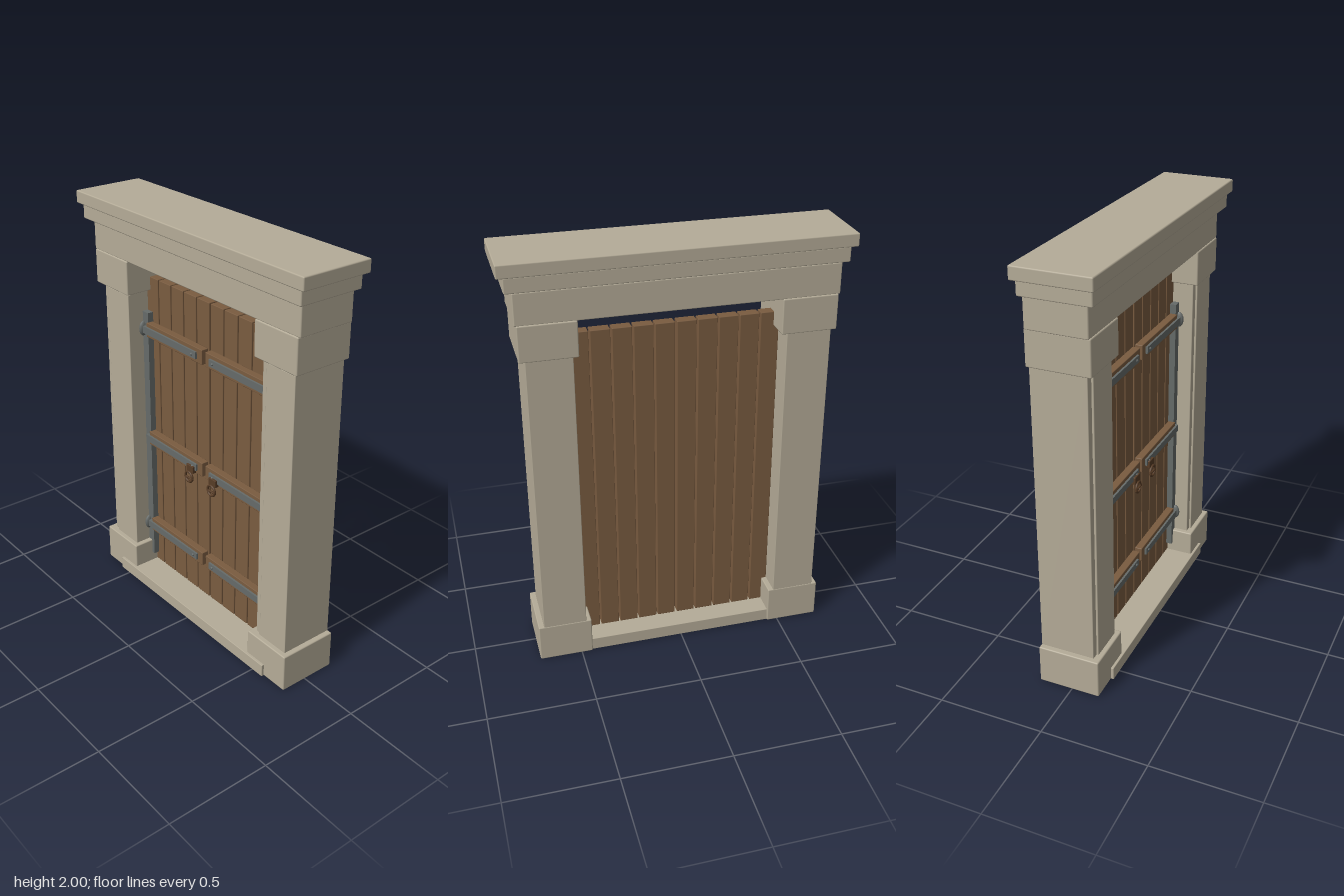
import * as THREE from 'three';
import { RoundedBoxGeometry } from 'three/addons/geometries/RoundedBoxGeometry.js';

const mat = (name, color) => {
  const m = new THREE.MeshStandardMaterial({ color });
  m.name = name;
  return m;
};

export function createModel() {
  const root = new THREE.Group();
  root.name = 'stoneDoorway';
  const stone = mat('stone', 0xb5ac98);
  const wood = mat('wood', 0x7a5c40);
  const iron = mat('iron', 0x666b69);
  const bronze = mat('bronze', 0x573c26);

  const add = (name, geometry, material, parent = root) => {
    const mesh = new THREE.Mesh(geometry, material);
    mesh.name = name;
    parent.add(mesh);
    return mesh;
  };

  // Box given by its limits; bevel > 0 softens the edges
  const block = (name, material, [x0, x1], [y0, y1], [z0, z1], bevel = 0, parent = root) => {
    const size = [x1 - x0, y1 - y0, z1 - z0];
    const geometry = bevel
      ? new RoundedBoxGeometry(...size, 1, bevel)
      : new THREE.BoxGeometry(...size);
    const mesh = add(name, geometry, material, parent);
    mesh.position.set((x0 + x1) / 2, (y0 + y1) / 2, (z0 + z1) / 2);
    return mesh;
  };

  // Stepped lintel and sill
  block('corniceTop', stone, [-0.77, 0.77], [1.94, 2], [-0.177, 0.177], 0.006);
  block('corniceLower', stone, [-0.742, 0.742], [1.87, 1.94], [-0.163, 0.16], 0.006);
  block('lintel', stone, [-0.71, 0.71], [1.725, 1.87], [-0.155, 0.125], 0.006);
  block('sill', stone, [-0.567, 0.567], [0, 0.063], [-0.15, 0.147], 0.003);

  for (const side of [-1, 1]) {
    // Interval measured outward from the centre, on this side
    const span = (a, b) => (side > 0 ? [a, b] : [-b, -a]);
    const label = side > 0 ? 'left' : 'right';

    // Pillar with base, capital and front facing
    const pillar = new THREE.Group();
    pillar.name = label + 'Pillar';
    root.add(pillar);
    block('pillarBase', stone, span(0.447, 0.702), [0, 0.187], [-0.16, 0.134], 0.006, pillar);
    block('pillarShaft', stone, span(0.472, 0.676), [0.18, 1.57], [-0.158, 0.1], 0.003, pillar);
    const [x0, x1] = span(0.472, 0.676);
    block('pillarFacing', stone, [x0 + 0.032, x1], [0.18, 1.553], [0.09, 0.11], 0.003, pillar);
    block('pillarCapital', stone, span(0.447, 0.702), [1.563, 1.728], [-0.16, 0.13], 0.006, pillar);

    // Door leaf of five spaced planks
    const door = new THREE.Group();
    door.name = label + 'Door';
    root.add(door);
    for (let i = 0; i < 5; i++) {
      const x = 0.005 + i * 0.0955;
      block('plank', wood, span(x, Math.min(x + 0.088, 0.472)), [0.063, 1.63], [-0.05, 0], 0.003, door);
    }
    block('hingePost', iron, span(0.43, 0.472), [0.11, 1.46], [0, 0.03], 0, door);

    // Battens, iron straps, rivets and hinge knuckles
    for (const y of [0.296, 0.8, 1.377]) {
      block('batten', wood, span(0.012, 0.435), [y - 0.036, y + 0.036], [0, 0.037], 0.003, door);
      block('strap', iron, span(0.048, 0.45), [y - 0.017, y + 0.017], [0.03, 0.047], 0, door);
      const rivet = add('rivet', new THREE.SphereGeometry(0.007, 10, 6), iron, door);
      rivet.position.set(side * 0.075, y, 0.047);
      if (y === 0.8) continue;
      const knuckle = add('hingeKnuckle', new THREE.SphereGeometry(1, 14, 8), iron, door);
      knuckle.scale.set(0.013, 0.038, 0.025);
      knuckle.position.set(side * 0.463, y, 0.033);
    }

    // Ring handle on its mount
    const handle = new THREE.Group();
    handle.name = label + 'Handle';
    handle.position.set(side * 0.085, 0, 0);
    door.add(handle);
    block('handleMount', bronze, [-0.026, 0.026], [0.765, 0.802], [0.035, 0.057], 0.003, handle);
    const ring = add('handleRing', new THREE.TorusGeometry(0.026, 0.006, 8, 20), bronze, handle);
    ring.position.set(0, 0.742, 0.06);
    const bar = add('handleBar', new THREE.CylinderGeometry(0.005, 0.005, 0.062, 8), bronze, handle);
    bar.rotation.z = Math.PI / 2;
    bar.position.set(0, 0.736, 0.06);
  }
  return root;
}
